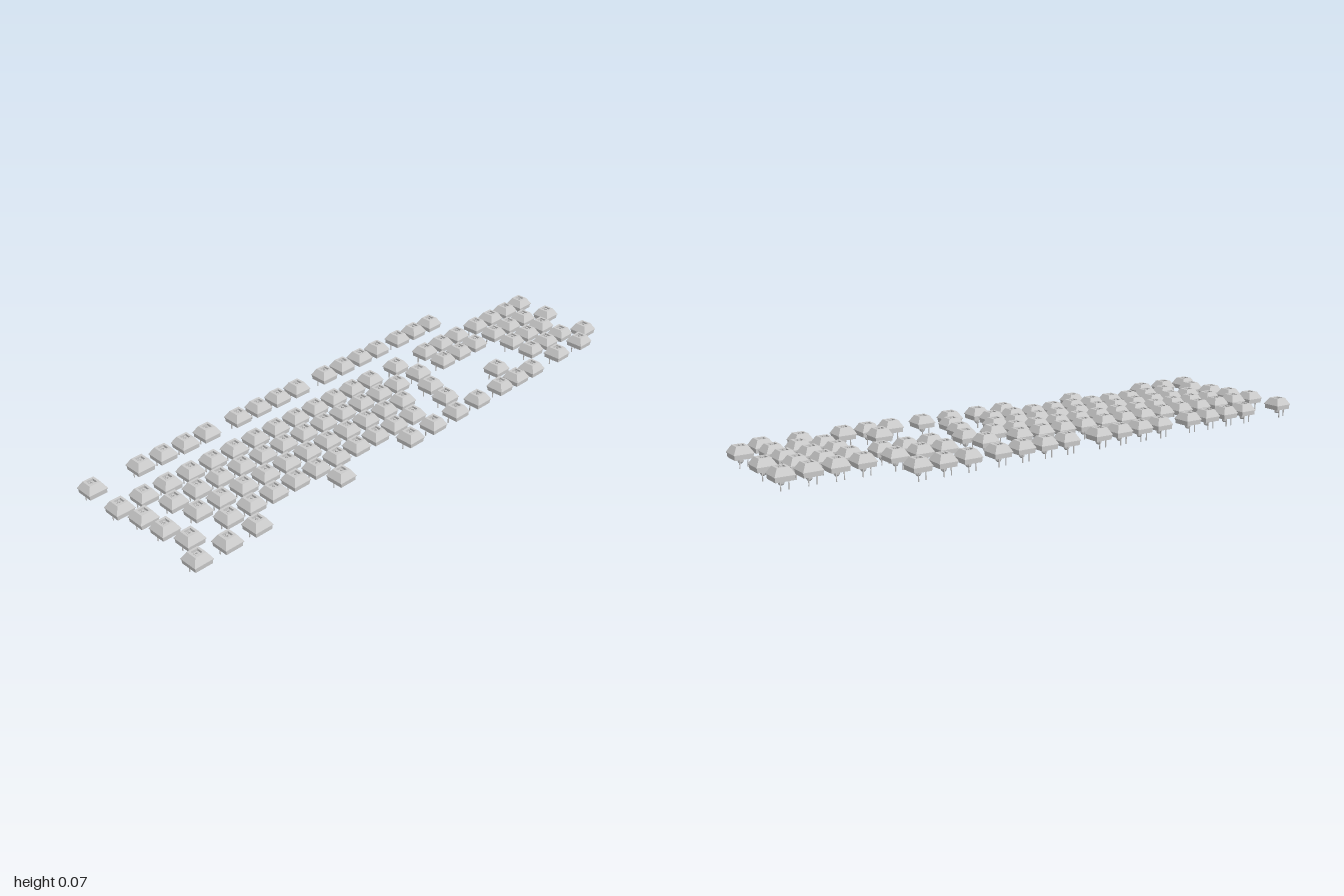
import * as THREE from 'three';

const PITCH = 0.09, LEFT = -0.966;
const material = new THREE.MeshStandardMaterial({ color: 0xcccccc });
const flat = new THREE.MeshStandardMaterial({ color: 0xcccccc, flatShading: true });

// Square-section solid from a profile of [half width, y] pairs
function squareLathe(profile) {
  const pts = profile.map(([h, y]) => new THREE.Vector2(h * Math.SQRT2, y));
  return new THREE.LatheGeometry(pts, 4, Math.PI / 4);
}

const run = (start, count) => Array.from({ length: count }, (_, i) => start + i);

// Switch columns in key units, row by row: [z, columns]
const rows = [
  [-0.253, [0]],
  [-0.25, [...run(2, 4), ...run(6.5, 4), ...run(11, 4), ...run(15.25, 3)]],
  [-0.108, [...run(0, 13), 13.5, ...run(15.25, 3), ...run(18.5, 4)]],
  [-0.018, [0.25, ...run(1.5, 12), 13.75, ...run(15.25, 3), ...run(18.5, 3)]],
  [0.025, [21.5]],
  [0.072, [0.375, ...run(1.75, 11), 13.375, ...run(18.5, 3)]],
  [0.162, [0.625, ...run(2.25, 10), 13.125, 16.25, ...run(18.5, 3)]],
  [0.205, [21.5]],
  [0.249, [6.54, 19]],
  [0.252, [0.125, 1.375, 2.63, 10.05, 11.31, 12.59, 13.86, ...run(15.25, 3), 20.5]],
];

export function createModel() {
  const model = new THREE.Group();
  model.name = 'keyboardSwitches';

  // Lower box, rim, sloped upper housing and the recess for the stem
  const housing = squareLathe([
    [0, 0.0295], [0.031, 0.0295], [0.032, 0.0445], [0.0342, 0.0445], [0.0342, 0.0465],
    [0.02, 0.0705], [0.012, 0.0705], [0.012, 0.062], [0, 0.062],
  ]);
  // Round-ended locating post
  const post = new THREE.LatheGeometry([
    [0, 0.0105], [0.004, 0.0113], [0.0075, 0.0138], [0.0095, 0.018], [0.0095, 0.0305],
  ].map(([r, y]) => new THREE.Vector2(r, y)), 12);
  const pin = new THREE.BoxGeometry(0.003, 0.031, 0.003);
  const stemBase = new THREE.BoxGeometry(0.016, 0.004, 0.014);
  const crossBar = new THREE.BoxGeometry(0.01, 0.005, 0.003);

  const add = (parent, name, geometry, mat, x = 0, y = 0, z = 0) => {
    const mesh = new THREE.Mesh(geometry, mat);
    mesh.name = name;
    mesh.position.set(x, y, z);
    parent.add(mesh);
    return mesh;
  };

  rows.forEach(([z, columns], r) => {
    const row = new THREE.Group();
    row.name = `switchRow${r + 1}`;
    for (const column of columns) {
      const key = new THREE.Group();
      key.name = 'keySwitch';
      key.position.set(LEFT + column * PITCH, 0, z);
      add(key, 'housing', housing, flat);
      add(key, 'locatingPost', post, material);
      add(key, 'stemBase', stemBase, material, 0, 0.064, 0);
      add(key, 'stemCross', crossBar, material, 0, 0.068, 0);
      add(key, 'stemCross', crossBar, material, 0, 0.068, 0).rotation.y = Math.PI / 2;
      // Two solder pins towards the back
      add(key, 'contactPin', pin, material, -0.018, 0.0155, -0.016);
      add(key, 'contactPin', pin, material, 0.012, 0.0155, -0.0225);
      row.add(key);
    }
    model.add(row);
  });
  return model;
}
